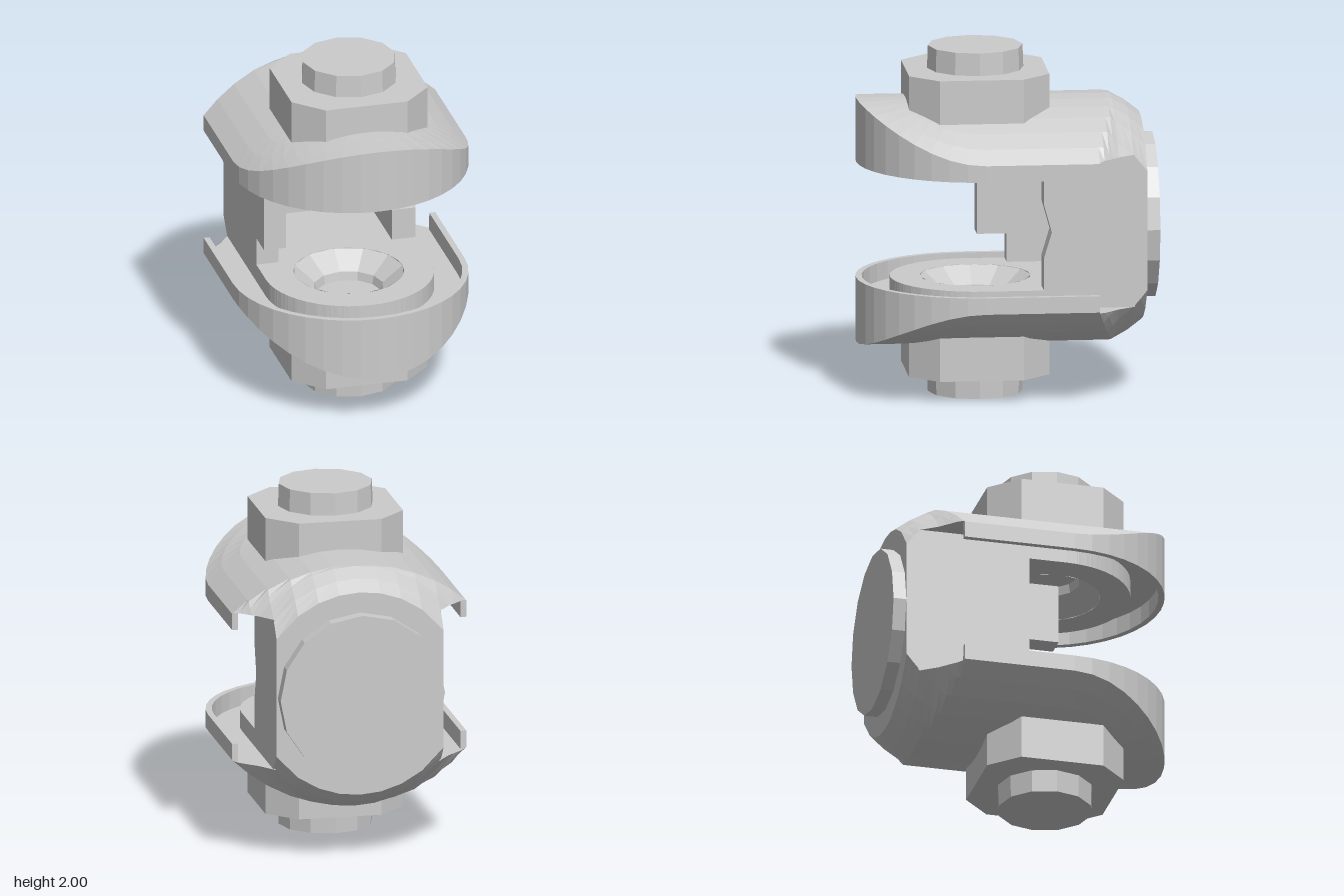
import * as THREE from 'three';

const material = new THREE.MeshStandardMaterial({ color: 0xcccccc, flatShading: true, side: THREE.DoubleSide });
const PIN_Z = 0.165;   // axis of the pin through both jaws
const CORE = 0.485;    // half width of pad and web
const RIM = 0.68;      // half width of the jaw

function add(parent, name, geometry, x = 0, y = 0, z = 0) {
  const mesh = new THREE.Mesh(geometry, material);
  mesh.name = name;
  mesh.position.set(x, y, z);
  parent.add(mesh);
  return mesh;
}

// Flat outline in (x, z), extruded upward from y0 to y1
function slab(shape, y0, y1, curveSegments = 12) {
  const g = new THREE.ExtrudeGeometry(shape, { depth: y1 - y0, bevelEnabled: false, curveSegments });
  return g.rotateX(Math.PI / 2).translate(0, y1, 0);
}

// Outline in (z, y), extruded across x from x0 to x1
function sideSlab(points, x0, x1) {
  const shape = new THREE.Shape(points.map(([z, y]) => new THREE.Vector2(-z, y)));
  const g = new THREE.ExtrudeGeometry(shape, { depth: x1 - x0, bevelEnabled: false });
  return g.rotateY(Math.PI / 2).translate(x0, 0, 0);
}

// Radius of the conical chamfer at the back, measured from the long axis
function coneRadius(z) {
  if (z > -0.48) return 2;
  const knots = [[-0.77, 0.595], [-0.69, 0.655], [-0.6, 0.705], [-0.48, 0.806]];
  for (let k = 0; k < 3; k++) {
    const [a, ra] = knots[k], [b, rb] = knots[k + 1];
    if (z <= b) return ra + (rb - ra) * (z - a) / (b - a);
  }
  return 0.806;
}

// Height of the arched outer face above the middle of the model
function topHeight(x, z) {
  const arch = 0.705 - 0.978 + Math.sqrt(0.978 ** 2 - x * x);
  const r = coneRadius(z);
  return Math.min(arch, Math.sqrt(Math.max(r * r - x * x, 0)));
}

// Jaw shell: one half-section swept along a U from back, round the front, to back
function jawShellGeometry() {
  const stations = [];
  const back = [-0.77, -0.77, -0.73, -0.69, -0.645, -0.6, -0.57, -0.54, -0.51, -0.481, -0.479, -0.2];
  back.forEach((z, k) => stations.push({ z, dx: 1, dz: 0, closed: k === 0 }));
  const steps = 20;
  for (let k = 0; k <= steps; k++) {
    const a = Math.PI * k / steps;
    stations.push({ z: PIN_Z, dx: Math.cos(a), dz: Math.sin(a) });
  }
  [...back].reverse().forEach((z, k) =>
    stations.push({ z, dx: -1, dz: 0, closed: k === back.length - 1 }));

  // null height means the arched outer face
  const section = [[0, null], [0.12, null], [0.24, null], [0.36, null], [CORE, null], [0.59, null], [RIM, null],
    [RIM, 0.335], [0.645, 0.335], [0.645, 0.44], [CORE, 0.44], [CORE, 0.335]];
  const positions = [], index = [], n = section.length;
  stations.forEach(({ z, dx, dz, closed }, i) => {
    const limit = z <= -0.69 ? CORE
      : Math.max(CORE, Math.sqrt(coneRadius(z) ** 2 - 0.44 ** 2));
    section.forEach(([w0, h], j) => {
      const w = Math.min(w0, limit);
      const x = w * dx, pz = z + w * dz;
      const top = topHeight(x, z);
      let y = h === null ? top : h;
      if (z < -0.48 && (j === 7 || j === 8)) y = 0.44;   // the rim stops here
      y = Math.min(y, Math.max(top, 0.335));
      if (closed) y = 0.335;
      positions.push(x, y, pz);
      if (i < stations.length - 1 && j < n - 1) {
        const a = i * n + j, b = a + n;
        index.push(a, b, a + 1, b, b + 1, a + 1);
      }
    });
  });
  const g = new THREE.BufferGeometry();
  g.setAttribute('position', new THREE.Float32BufferAttribute(positions, 3));
  g.setIndex(index);
  g.computeVertexNormals();
  return g;
}

// Inner pad with a rounded front and a round hole
function padGeometry() {
  const s = new THREE.Shape();
  s.moveTo(CORE, -0.7);
  s.lineTo(CORE, PIN_Z);
  s.absarc(0, PIN_Z, CORE, 0, Math.PI, false);
  s.lineTo(-CORE, -0.7);
  s.closePath();
  const hole = new THREE.Path();
  hole.absarc(0, PIN_Z, 0.315, 0, Math.PI * 2, true);
  s.holes.push(hole);
  return slab(s, 0.335, 0.44);
}

// Square nut block with cut corners
function bossGeometry() {
  const a = 0.4, c = 0.24;
  const pts = [[a, -c], [a, c], [c, a], [-c, a], [-a, c], [-a, -c], [-c, -a], [c, -a]];
  return slab(new THREE.Shape(pts.map(([x, z]) => new THREE.Vector2(x, z + PIN_Z))), 0.5, 0.87);
}

function createJaw(name) {
  const jaw = new THREE.Group();
  jaw.name = name;
  add(jaw, 'jawShell', jawShellGeometry());
  add(jaw, 'jawPad', padGeometry());
  const socket = [[0.318, 0.336], [0.2, 0.43], [0.19, 0.48], [0, 0.48]];
  add(jaw, 'pinSocket', new THREE.LatheGeometry(socket.map(p => new THREE.Vector2(...p)), 12), 0, 0, PIN_Z);
  add(jaw, 'nutBlock', bossGeometry());
  add(jaw, 'pinHead', new THREE.CylinderGeometry(0.27, 0.275, 0.14, 12), 0, 0.93, PIN_Z);
  return jaw;
}

export function createModel() {
  const model = new THREE.Group();
  model.name = 'clevisJoint';
  const body = new THREE.Group();
  body.name = 'body';
  body.position.y = 1;
  model.add(body);

  // Two matching jaws, the lower one turned over
  body.add(createJaw('upperJaw'));
  const lower = createJaw('lowerJaw');
  lower.rotation.z = Math.PI;
  body.add(lower);

  // Web joining the jaws: back plate and two side walls
  const h = 0.335;
  add(body, 'backPlate', new THREE.BoxGeometry(CORE * 2, h * 2, 0.09), 0, 0, -0.725);
  add(body, 'leftWall', sideSlab(
    [[-0.72, -h], [-0.18, -h], [-0.18, -0.15], [-0.225, 0], [-0.18, 0.16], [-0.18, h], [-0.72, h]], 0.345, CORE));
  add(body, 'rightWall', sideSlab(
    [[-0.72, -h], [-0.05, -h], [-0.05, -0.17], [0.12, -0.17], [0.12, 0.18], [-0.05, 0.18], [-0.05, h], [-0.72, h]],
    -CORE, -0.355));

  // Round plate on the back
  const disc = add(body, 'backDisc', new THREE.CylinderGeometry(0.477, 0.477, 0.095, 16), 0, 0, -0.7975);
  disc.rotation.x = Math.PI / 2;
  return model;
}
